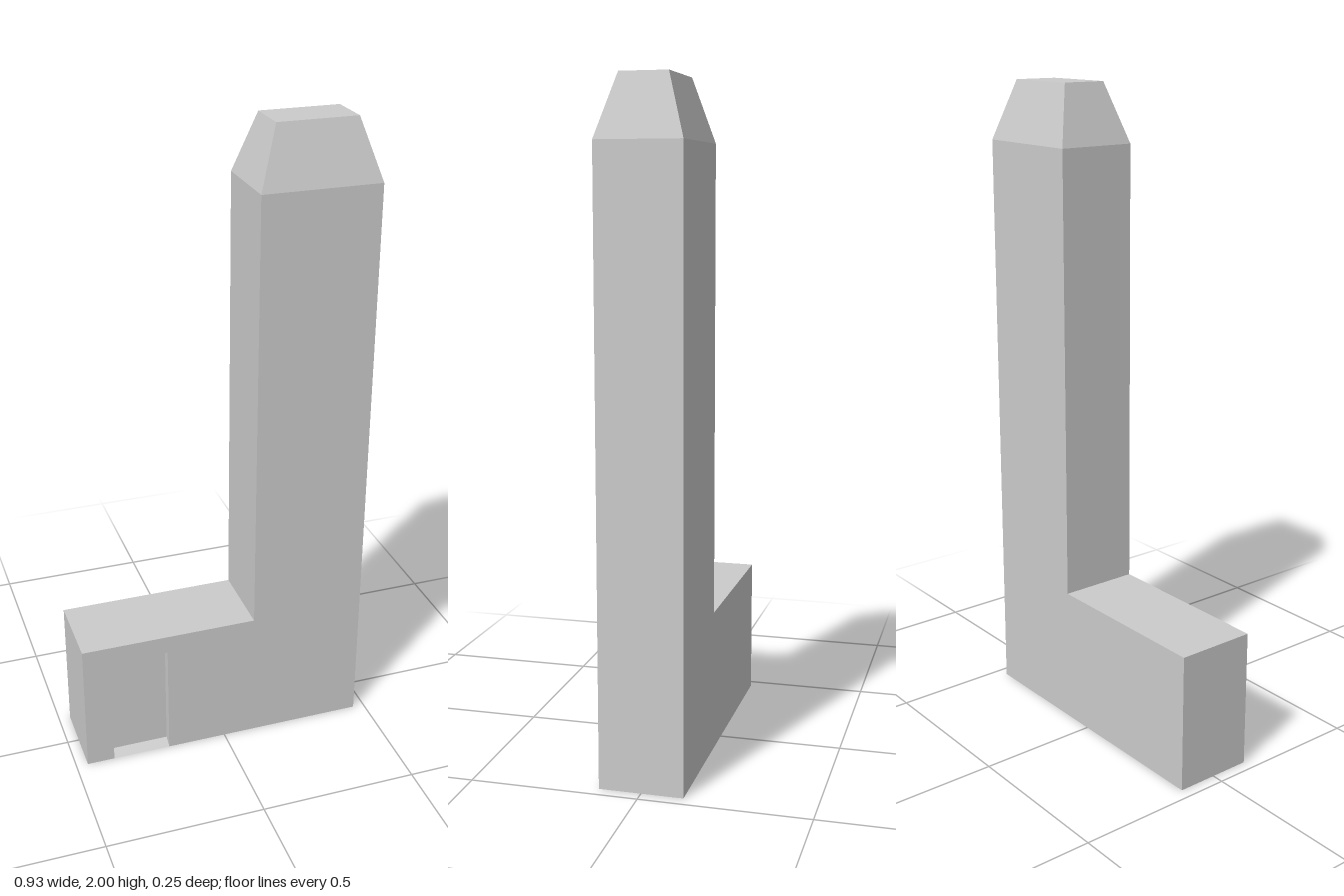
import * as THREE from 'three';

const X0 = -0.463, X1 = 0.463, TX = 0.098, D = 0.125; // overall width, tower edge, half depth
const LOW = 0.432, SHOULDER = 1.82, TOP = 2;
const DOOR = { l: -0.375, r: -0.19, top: 0.374, innerTop: 0.36, sill: 0.017, z: 0.095 };

const material = new THREE.MeshStandardMaterial({ color: 0xcccccc, flatShading: true });

// Flat-sided surface from quads, corners anticlockwise seen from outside
function quadMesh(name, quads) {
  const pos = quads.flatMap(([a, b, c, d]) => [a, b, c, a, c, d].flat());
  const geo = new THREE.BufferGeometry();
  geo.setAttribute('position', new THREE.Float32BufferAttribute(pos, 3));
  geo.computeVertexNormals();
  const mesh = new THREE.Mesh(geo, material);
  mesh.name = name;
  return mesh;
}

function wallMesh(name, outline, z, back) {
  const geo = new THREE.ShapeGeometry(new THREE.Shape(outline.map(([x, y]) => new THREE.Vector2(x, y))));
  if (back) geo.rotateY(Math.PI);
  geo.translate(0, 0, z);
  const mesh = new THREE.Mesh(geo, material);
  mesh.name = name;
  return mesh;
}

export function createModel() {
  const model = new THREE.Group();
  model.name = 'towerBuilding';
  const { l, r, top, innerTop, sill, z } = DOOR;

  // L-shaped outline of the low wing and tower, anticlockwise from the front
  const outline = [[X0, 0], [X1, 0], [X1, SHOULDER], [TX, SHOULDER], [TX, LOW], [X0, LOW]];

  // Front wall with a doorway notch, and plain back wall
  const notch = [[l, 0], [l, top], [r, top], [r, 0]];
  model.add(wallMesh('frontWall', [outline[0], ...notch, ...outline.slice(1)], D, false));
  model.add(wallMesh('backWall', outline.map(([x, y]) => [-x, y]).reverse(), -D, true));

  // Base, end walls and wing roof; the shoulder edge is covered by the tower cap
  const sides = [];
  outline.forEach(([ax, ay], i) => {
    const [bx, by] = outline[(i + 1) % outline.length];
    if (ay === SHOULDER && by === SHOULDER) return;
    sides.push([[ax, ay, D], [ax, ay, -D], [bx, by, -D], [bx, by, D]]);
  });
  model.add(quadMesh('baseSidesAndWingRoof', sides));

  // Tapered tower cap
  const ring = (xa, xb, y, d) => [[xa, y, d], [xb, y, d], [xb, y, -d], [xa, y, -d]];
  const lower = ring(TX, X1, SHOULDER, D), upper = ring(0.158, 0.404, TOP, 0.07);
  const cap = lower.map((p, i) => {
    const j = (i + 1) % 4;
    return [p, lower[j], upper[j], upper[i]];
  });
  cap.push(upper);
  model.add(quadMesh('towerCap', cap));

  // Recessed door with sloping sill and lintel
  const front = [[l, 0, D], [r, 0, D], [r, top, D], [l, top, D]];
  const inner = [[l, sill, z], [r, sill, z], [r, innerTop, z], [l, innerTop, z]];
  model.add(quadMesh('door', [inner]));
  model.add(quadMesh('doorFrame', front.map((p, i) => {
    const j = (i + 1) % 4;
    return [p, front[j], inner[j], inner[i]];
  })));

  return model;
}
